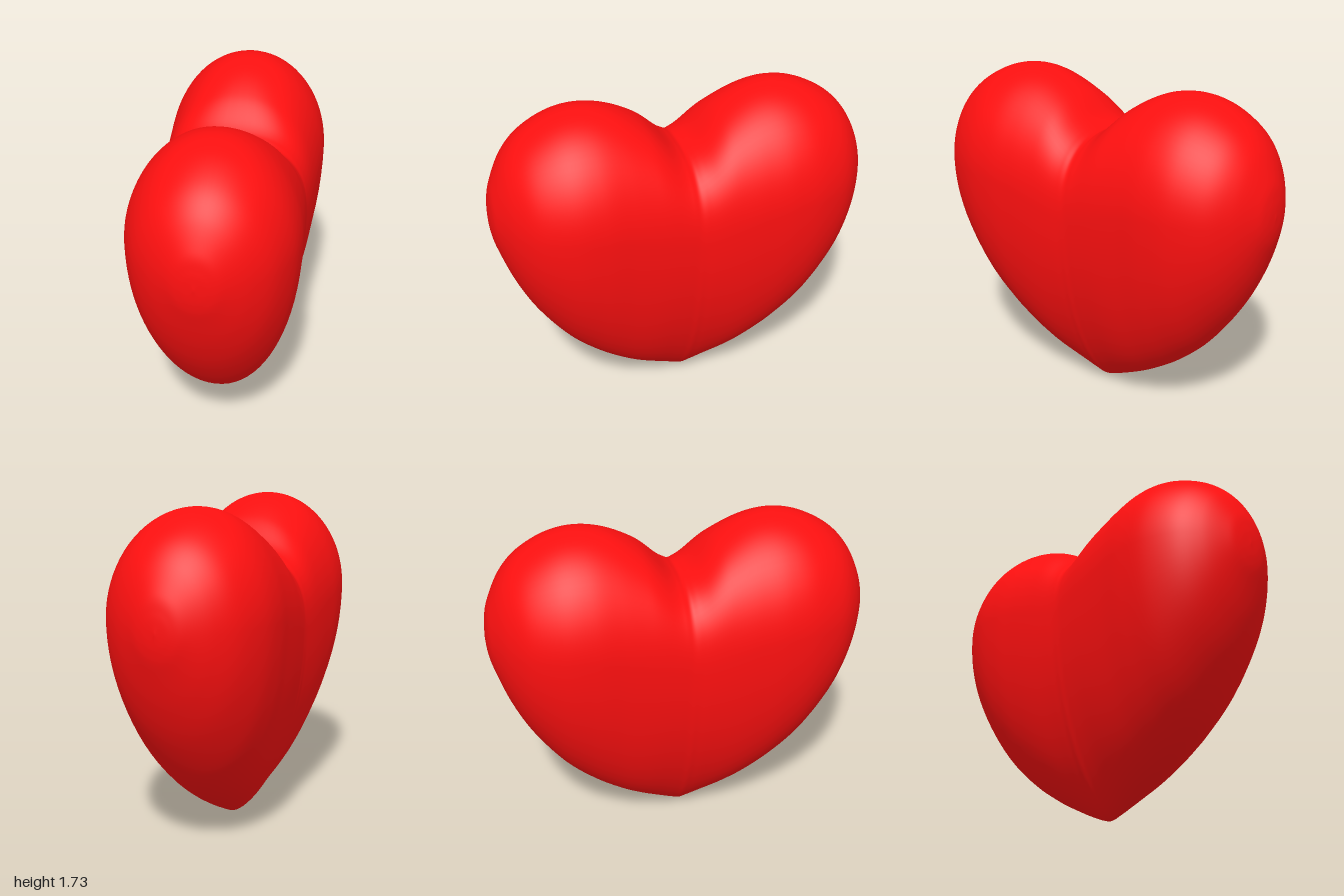
import * as THREE from 'three';
import { mergeVertices } from 'three/addons/utils/BufferGeometryUtils.js';

// Stations of one lobe: z, lowest y, highest y, half width, y of the widest point
const LOBE = [
  [0, 0, 1.465, 0.395, 1.05],
  [0.03, 0.008, 1.476, 0.396, 1.06],
  [0.08, 0.027, 1.51, 0.4, 1.07],
  [0.2, 0.085, 1.62, 0.41, 1.11],
  [0.35, 0.17, 1.7, 0.42, 1.16],
  [0.5, 0.275, 1.728, 0.427, 1.19],
  [0.65, 0.415, 1.705, 0.41, 1.2],
  [0.8, 0.62, 1.628, 0.348, 1.2],
  [0.9, 0.815, 1.525, 0.255, 1.2],
  [0.97, 1.015, 1.385, 0.14, 1.2],
  [0.9925, 1.11, 1.29, 0.072, 1.2],
  [1, 1.2, 1.2, 0, 1.2],
];
const STEPS = 8;  // slices per station gap
const SIDES = 80; // points around a slice

// Upright slice: square-shouldered on top in the cleft, keeled below near the tip
function slicePoint(phi, z, lo, hi, width, mid) {
  const s = Math.sin(phi), c = Math.cos(phi), u = Math.min(1, Math.abs(s));
  const near = Math.exp(-((z / 0.2) ** 2));
  const p = 2 + 0.6 * near;
  const x = s > 0
    ? Math.pow(Math.max(0, 1 - Math.pow(u, p)), 1 / p)
    : Math.pow(Math.max(0, 1 - u * u), 0.5 + 0.22 * near);
  return [Math.sign(c) * x * width, mid + s * (s > 0 ? hi - mid : mid - lo), z];
}

function heartGeometry() {
  // Mirror the lobe front to back and smooth the stations with splines
  const back = LOBE.slice(1).reverse().map(([z, ...rest]) => [-z, ...rest]);
  const stations = [...back, ...LOBE];
  const outline = new THREE.CatmullRomCurve3(
    stations.map(([z, lo, hi]) => new THREE.Vector3(z, lo, hi)), false, 'catmullrom', 0.5);
  const body = new THREE.SplineCurve(stations.map((s) => new THREE.Vector2(s[3], s[4])));

  const slices = (stations.length - 1) * STEPS;
  const positions = [], index = [];
  for (let i = 0; i <= slices; i++) {
    const o = outline.getPoint(i / slices), b = body.getPoint(i / slices);
    for (let j = 0; j < SIDES; j++) {
      const phi = (j / SIDES) * Math.PI * 2;
      positions.push(...slicePoint(phi, o.x, o.y, o.z, b.x, b.y));
      if (i === slices) continue;
      const k = (j + 1) % SIDES;
      const a = i * SIDES + j, n = i * SIDES + k;
      index.push(a, n, a + SIDES, n, n + SIDES, a + SIDES);
    }
  }
  const geometry = new THREE.BufferGeometry();
  geometry.setAttribute('position', new THREE.Float32BufferAttribute(positions, 3));
  geometry.setIndex(index);
  const welded = mergeVertices(geometry, 1e-5);
  welded.computeVertexNormals();
  return welded;
}

export function createModel() {
  const group = new THREE.Group();
  group.name = 'heartModel';
  const heart = new THREE.Mesh(heartGeometry(), new THREE.MeshStandardMaterial({ color: 0xff1010 }));
  heart.name = 'heart';
  group.add(heart);
  return group;
}
